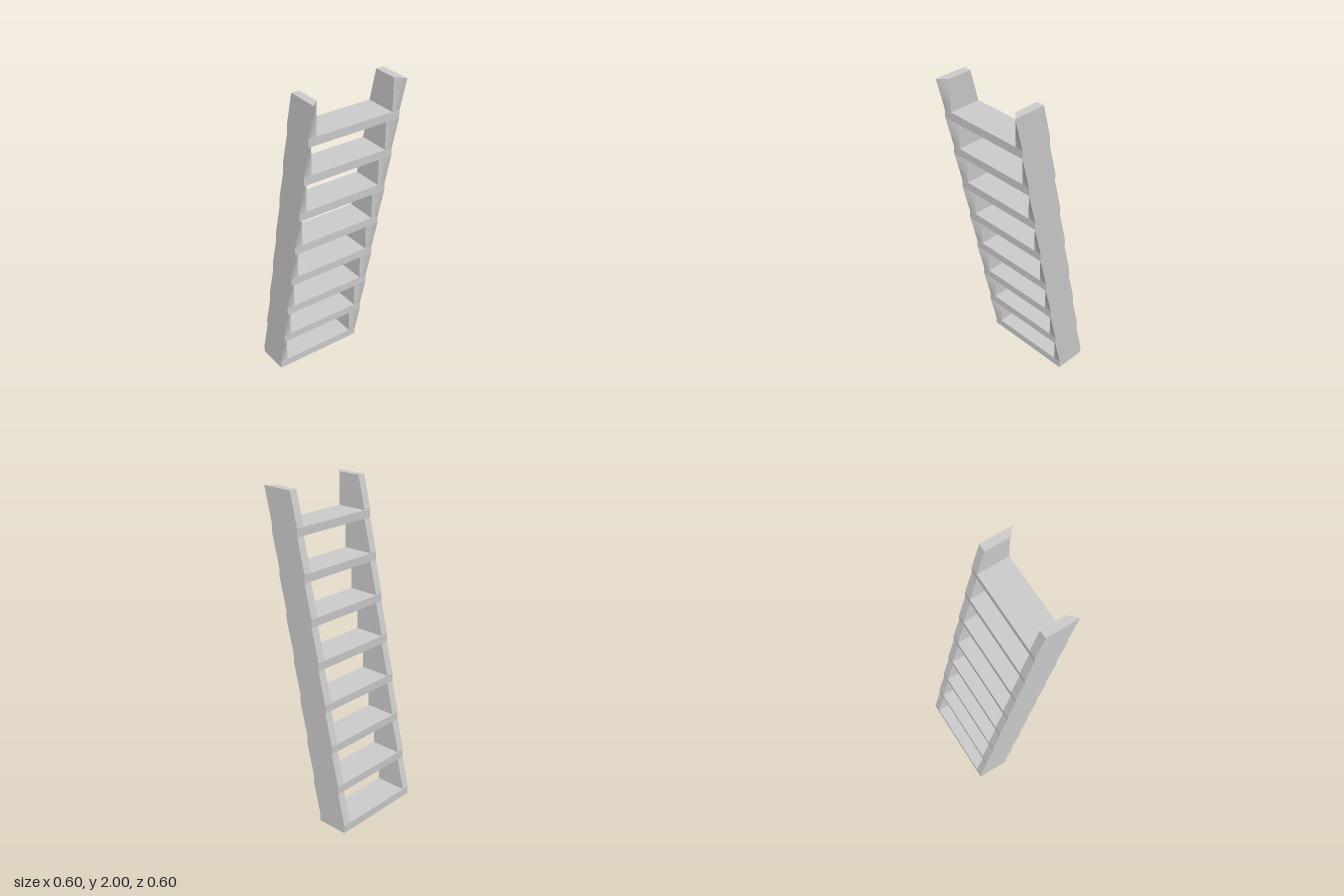
import * as THREE from 'three';

const STEPS = 8, RISE = 0.25, THICK = 0.05, DEPTH = 0.2, SHIFT = 0.05;
const HALF = 0.3, INNER = 0.25;
const lerp = THREE.MathUtils.lerp;

// Rail section between two steps: the outer face leans forward with the back,
// while the inner front edge stays upright, so the front face twists gently.
function railGeometry(side, y0, y1, zc) {
  const geo = new THREE.BoxGeometry(1, 1, 1, 4, 4, 1);
  const pos = geo.attributes.position;
  for (let i = 0; i < pos.count; i++) {
    const x = lerp(INNER, HALF, 0.5 + side * pos.getX(i)); // inner to outer
    const outer = (x - INNER) / (HALF - INNER);
    const up = pos.getY(i) + 0.5;
    const back = zc - DEPTH / 2 + SHIFT * up;
    const front = zc + DEPTH / 2 + SHIFT * up * outer;
    pos.setXYZ(i, side * x, lerp(y0, y1, up), lerp(back, front, pos.getZ(i) + 0.5));
  }
  geo.computeVertexNormals();
  return geo;
}

export function createModel() {
  const model = new THREE.Group();
  model.name = 'ladder';
  const material = new THREE.MeshStandardMaterial({ color: 0xcccccc });
  const add = (name, geo) => {
    const mesh = new THREE.Mesh(geo, material);
    mesh.name = name;
    model.add(mesh);
    return mesh;
  };

  for (let i = 0; i < STEPS; i++) {
    const y = i * RISE, zc = -0.2 + i * SHIFT;
    // Full-width tread
    add(`step${i + 1}`, new THREE.BoxGeometry(HALF * 2, THICK, DEPTH))
      .position.set(0, y + THICK / 2, zc);
    // Side rails up to the next tread
    for (const side of [1, -1]) {
      add(`${side > 0 ? 'left' : 'right'}Rail${i + 1}`,
        railGeometry(side, y + THICK, y + RISE, zc));
    }
  }
  return model;
}
